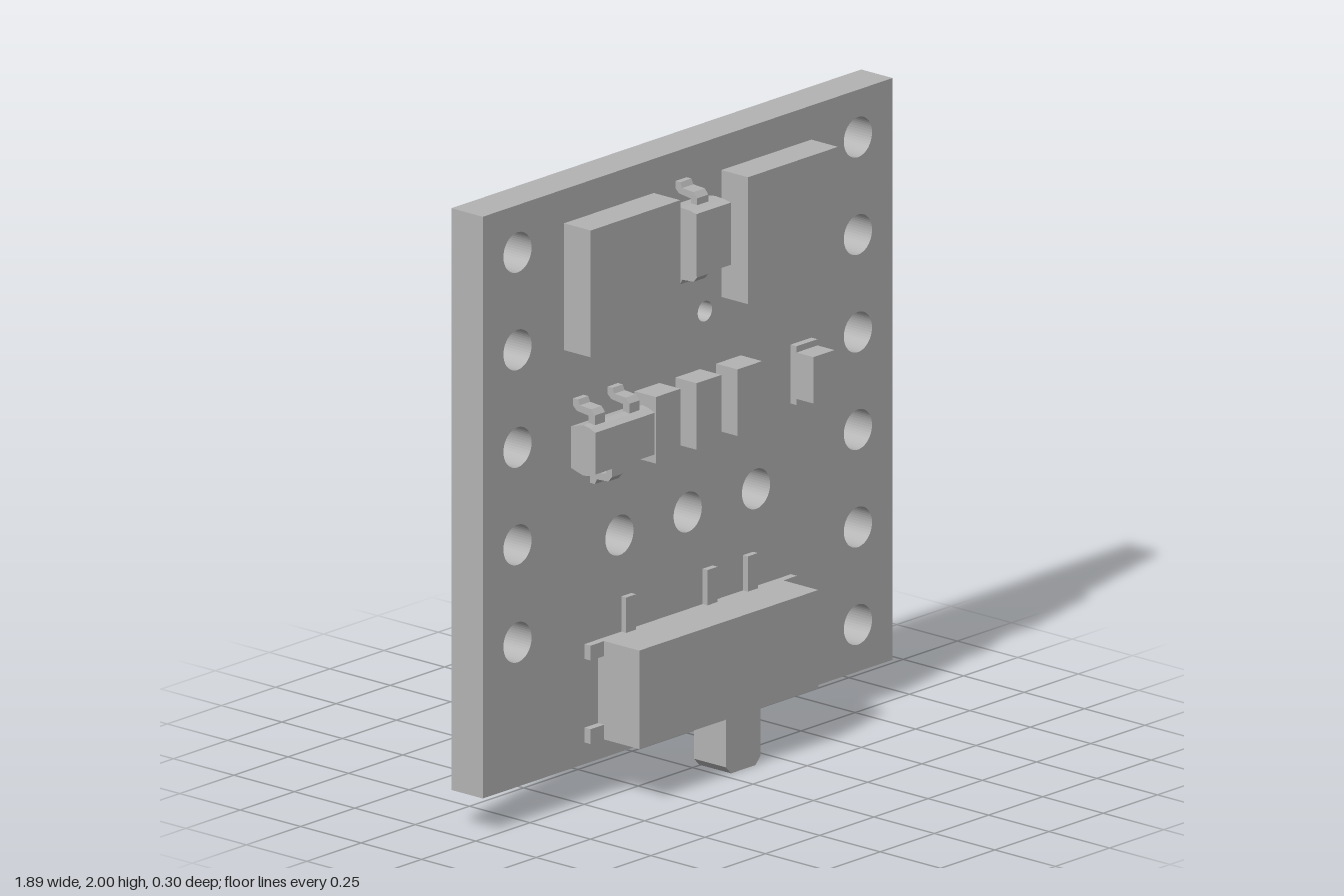
import * as THREE from 'three';

const grey = new THREE.MeshStandardMaterial({ color: 0xb3b3b3 });
grey.name = 'plain grey';
const FACE = -0.02; // front face of the board

export function createModel() {
  const model = new THREE.Group();
  model.name = 'circuitBoard';

  const add = (name, geometry, parent = model) => {
    const mesh = new THREE.Mesh(geometry, grey);
    mesh.name = name;
    parent.add(mesh);
    return mesh;
  };
  const group = (name) => {
    const g = new THREE.Group();
    g.name = name;
    model.add(g);
    return g;
  };
  // Box given by its limits
  const box = (name, x0, x1, y0, y1, z0, z1, parent) => {
    const g = new THREE.BoxGeometry(x1 - x0, y1 - y0, z1 - z0);
    g.translate((x0 + x1) / 2, (y0 + y1) / 2, (z0 + z1) / 2);
    return add(name, g, parent);
  };
  // Side profile of [z, y] points, swept from x0 to x1
  const sweep = (name, points, x0, x1, parent) => {
    const shape = new THREE.Shape(points.map(([z, y]) => new THREE.Vector2(z, y)));
    const g = new THREE.ExtrudeGeometry(shape, { depth: x1 - x0, bevelEnabled: false });
    g.rotateY(-Math.PI / 2).translate(x1, 0, 0);
    return add(name, g, parent);
  };

  // Board with drilled holes
  const outline = new THREE.Shape();
  outline.moveTo(-0.945, 0.12).lineTo(0.945, 0.12).lineTo(0.945, 2).lineTo(-0.945, 2).closePath();
  const drill = (x, y, r) => {
    const hole = new THREE.Path();
    hole.absarc(x, y, r, 0, Math.PI * 2, true);
    outline.holes.push(hole);
  };
  for (let i = 0; i < 6; i++) {
    const y = 1.847 - i * 0.315;
    drill(0.785, y, 0.065);
    if (i < 5) drill(-0.785, y, 0.065);
  }
  for (const x of [-0.315, 0, 0.315]) drill(x, 0.822, 0.065);
  for (const x of [-0.188, 0.188]) drill(x, 0.35, 0.055);
  drill(0.079, 1.452, 0.033);
  const board = new THREE.ExtrudeGeometry(outline, { depth: 0.13, bevelEnabled: false, curveSegments: 24 });
  board.translate(0, 0, -0.15);
  add('board', board);

  // Two large flat chips
  box('rightChip', -0.57, -0.157, 1.48, 1.89, FACE, 0.09);
  box('leftChip', 0.155, 0.57, 1.48, 1.89, FACE, 0.09);

  // Moulded body with tapered sides
  const moulded = (name, x0, x1, y0, y1, z1, taper, parent) => sweep(name, [
    [0, y0 + taper], [0.05, y0], [z1 - 0.025, y0 + taper * 0.3], [z1, y0 + taper],
    [z1, y1 - taper], [z1 - 0.025, y1 - taper * 0.3], [0.05, y1], [0, y1 - taper],
  ], x0, x1, parent);
  // Bent lead leaving the body edge at y, in direction dir
  const bentLead = (x0, x1, y, dir, parent) => sweep('bentLead', [
    [0.045, -0.02], [0.07, -0.02], [0.07, 0.028], [0.055, 0.045], [0.008, 0.048], [0, 0.065],
    [FACE, 0.065], [FACE, 0.042], [-0.005, 0.028], [0.045, 0.022],
  ].map(([z, d]) => [z, y + dir * d]), x0, x1, parent);

  const diode = group('diode');
  moulded('diodeBody', -0.111, 0.048, 1.63, 1.847, 0.115, 0.008, diode);
  bentLead(-0.057, -0.005, 1.84, 1, diode);
  bentLead(-0.057, -0.005, 1.64, -1, diode);

  const transistor = group('transistor');
  moulded('transistorBody', -0.56, -0.286, 1.087, 1.25, 0.1, 0.014, transistor);
  bentLead(-0.529, -0.481, 1.25, 1, transistor);
  bentLead(-0.37, -0.322, 1.25, 1, transistor);
  bentLead(-0.45, -0.402, 1.088, -1, transistor);

  // Row of small block parts
  for (const x of [-0.188, 0, 0.188]) box('resistor', x - 0.057, x + 0.057, 1.055, 1.27, FACE, 0.068);

  // Small lamp on a base plate
  const lamp = group('lamp');
  box('lampBase', 0.474, 0.571, 1.06, 1.25, FACE, 0.005, lamp);
  box('lampBody', 0.474, 0.571, 1.08, 1.23, 0.005, 0.075, lamp);

  // Slide switch
  const slide = group('slideSwitch');
  box('switchBody', -0.413, 0.413, 0.19, 0.508, FACE, 0.15, slide);
  for (const s of [-1, 1]) {
    for (const y of [0.19, 0.46]) {
      const [a, b] = s < 0 ? [-0.476, -0.41] : [0.41, 0.476];
      box('mountingTab', a, b, y, y + 0.048, FACE, 0.005, slide);
    }
  }
  for (const x of [-0.283, 0.092, 0.278]) box('switchPin', x - 0.023, x + 0.023, 0.5, 0.622, FACE, 0, slide);

  // Slider knob with chamfered tip
  const knob = new THREE.Shape([
    [0.012, 0.2], [0.012, 0.025], [0.036, 0], [0.148, 0], [0.172, 0.025], [0.172, 0.2],
  ].map(([x, y]) => new THREE.Vector2(x, y)));
  const knobGeometry = new THREE.ExtrudeGeometry(knob, { depth: 0.132, bevelEnabled: false });
  knobGeometry.translate(0, 0, -0.005);
  add('sliderKnob', knobGeometry, slide);

  return model;
}
